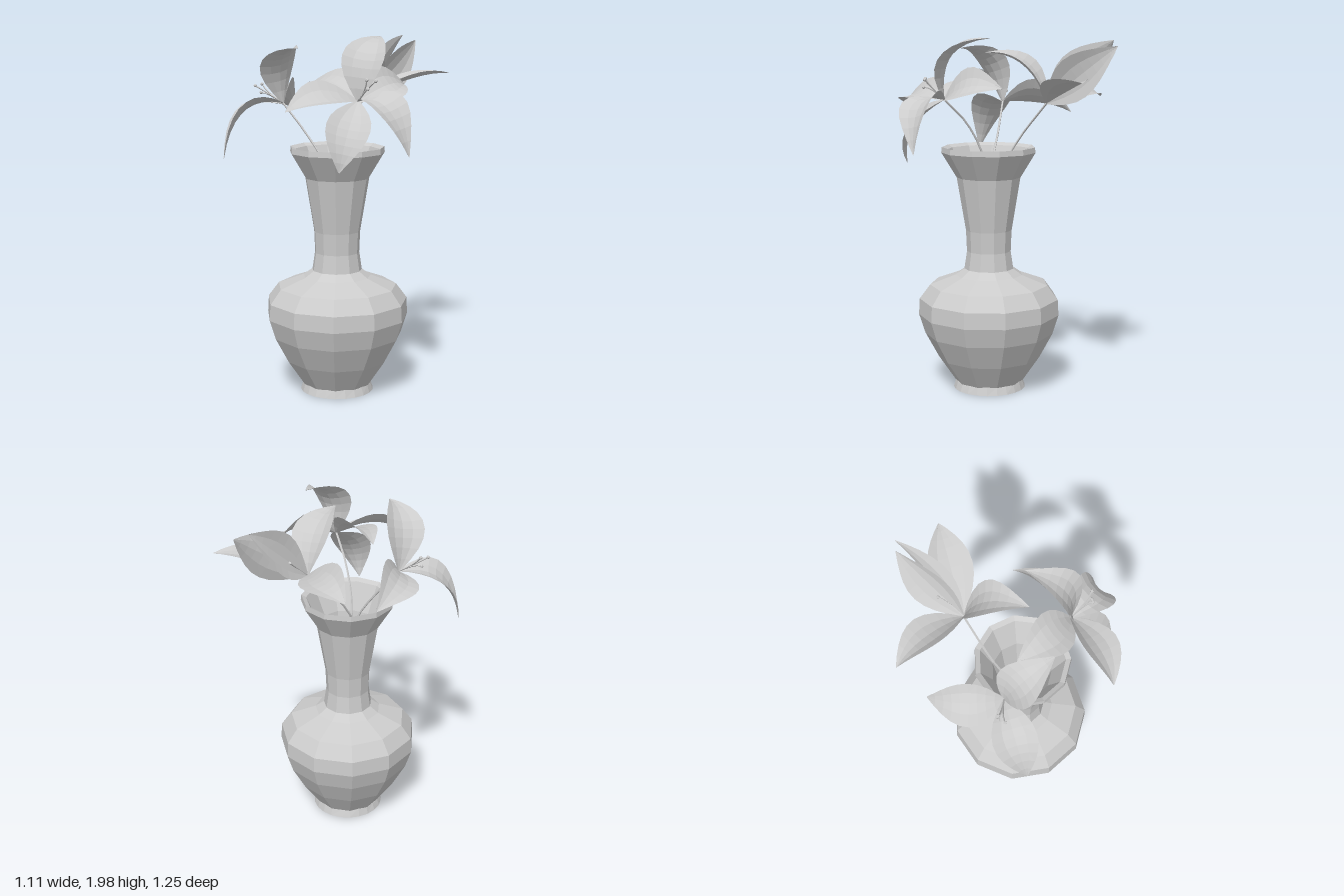
import * as THREE from 'three';

const mat = new THREE.MeshStandardMaterial({ color: 0xcccccc, flatShading: true, side: THREE.DoubleSide });
const V = (x, y, z) => new THREE.Vector3(x, y, z);
const PETAL_WIDTH = 0.113;

function add(parent, name, geometry) {
  const mesh = new THREE.Mesh(geometry, mat);
  mesh.name = name;
  parent.add(mesh);
  return mesh;
}

// Eleven-sided hollow vase: outer wall up to the rim, then inner wall down
function buildVase() {
  const vase = new THREE.Group();
  vase.name = 'vase';
  const profile = [
    [0.195, 0.05], [0.29, 0.19], [0.365, 0.33], [0.4, 0.44], [0.395, 0.53], [0.335, 0.61],
    [0.19, 0.665], [0.14, 0.7], [0.125, 0.8], [0.13, 0.92], [0.18, 1.22], [0.265, 1.36], [0.262, 1.39],
    [0.235, 1.375], [0.165, 1.22], [0.115, 0.92], [0.11, 0.72], [0, 0.7],
  ].map(([r, y]) => new THREE.Vector2(r, y));
  add(vase, 'vaseBody', new THREE.LatheGeometry(profile, 11, 0.289));

  // Ruffled foot
  const foot = new THREE.CylinderGeometry(0.19, 0.205, 0.045, 22);
  const p = foot.attributes.position;
  for (let i = 0; i < p.count; i++) {
    const a = Math.atan2(p.getZ(i), p.getX(i));
    const s = 1 + 0.025 * Math.cos(a * 11);
    p.setXYZ(i, p.getX(i) * s, p.getY(i) + 0.006 * Math.cos(a * 5) * (p.getY(i) > 0 ? 1 : 0), p.getZ(i) * s);
  }
  add(vase, 'vaseFoot', foot).position.y = 0.03;
  vase.position.set(0.053, 0, 0.115);
  return vase;
}

// Cupped, pointed petal swept along a curve from the flower's heart to its tip;
// it bulges and faces towards the given direction
function petalGeometry(base, tip, facing, bend) {
  const mid = base.clone().lerp(tip, 0.5).addScaledVector(facing, bend);
  const curve = new THREE.QuadraticBezierCurve3(base, mid, tip);
  const rows = 9, cols = 4, pos = [], idx = [];
  const side = tip.clone().sub(base).cross(facing).normalize();
  for (let i = 0; i <= rows; i++) {
    const t = i / rows;
    const c = curve.getPoint(t), up = side.clone().cross(curve.getTangent(t)).normalize();
    const w = 0.008 + PETAL_WIDTH * Math.pow(Math.sin(Math.PI * Math.pow(t, 0.9)), 1.15) * (1 - 0.1 * t);
    for (let j = 0; j <= cols; j++) {
      const s = (j / cols) * 2 - 1;
      const q = c.clone().addScaledVector(side, s * w * (i === rows ? 0.3 : 1));
      q.addScaledVector(up, w * (0.3 * s * s - 0.1));
      pos.push(q.x, q.y, q.z);
      if (i < rows && j < cols) {
        const k = i * (cols + 1) + j;
        idx.push(k, k + 1, k + cols + 1, k + 1, k + cols + 2, k + cols + 1);
      }
    }
  }
  const g = new THREE.BufferGeometry();
  g.setAttribute('position', new THREE.Float32BufferAttribute(pos, 3));
  g.setIndex(idx);
  g.computeVertexNormals();
  return g;
}

// Flower with a stem and stamens; petals are added one by one
function buildFlower(name, heart, axis, stemPoints) {
  const flower = new THREE.Group();
  flower.name = name;
  const dir = axis.normalize();
  const path = new THREE.CatmullRomCurve3([...stemPoints, heart]);
  add(flower, 'stem', new THREE.TubeGeometry(path, 12, 0.006, 5));

  // Stamens with small anthers
  const u = V(0, 1, 0).cross(dir).normalize();
  const v = dir.clone().cross(u);
  const bow = heart.clone().addScaledVector(dir, 0.12);
  for (let i = 0; i < 3; i++) {
    const a = (i * Math.PI * 2) / 3, r = 0.025;
    const end = heart.clone().addScaledVector(dir, 0.18 - 0.02 * i)
      .addScaledVector(u, r * Math.cos(a)).addScaledVector(v, r * Math.sin(a));
    add(flower, 'stamen', new THREE.TubeGeometry(new THREE.QuadraticBezierCurve3(heart, bow, end), 5, 0.004, 4));
    add(flower, 'anther', new THREE.IcosahedronGeometry(0.01, 0)).position.copy(end);
  }
  const petal = (tip, facing, bend) =>
    add(flower, 'petal', petalGeometry(heart, tip, facing.normalize(), bend));
  return { flower, petal };
}

export function createModel() {
  const model = new THREE.Group();
  model.name = 'vaseOfFlowers';

  // Large open flower leaning to the front
  const front = buildFlower('frontFlower', V(0.24, 1.66, 0.32), V(0.11, 0.12, 0.1),
    [V(0.1, 0.8, 0.1), V(0.04, 1.3, 0.14), V(0.12, 1.52, 0.22)]);
  front.petal(V(0.28, 1.99, 0.06), V(0.05, 0.6, 0.8), 0.24);
  front.petal(V(0.39, 1.73, -0.03), V(0.5, 0.6, 0.3), 0.14);
  front.petal(V(0.545, 1.39, 0.41), V(0.25, 0.75, 0.3), 0.27);
  front.petal(V(0.21, 1.31, 0.54), V(0.2, 0.3, 0.8), 0.16);
  front.petal(V(-0.05, 1.62, 0.62), V(0.1, 0.8, 0.5), 0.14);
  front.petal(V(-0.1, 1.73, 0.12), V(0, 0.9, 0.4), 0.15);

  // Half-closed flower leaning to the back
  const back = buildFlower('backFlower', V(0.11, 1.64, -0.22), V(0.06, 0.16, -0.18),
    [V(0.03, 0.8, 0.16), V(-0.02, 1.2, 0.08), V(0, 1.42, -0.04)]);
  back.petal(V(-0.26, 1.66, -0.47), V(0, 0.8, -0.4), 0.13);
  back.petal(V(0.22, 1.98, -0.59), V(-0.5, 0.6, -0.4), 0.04);
  back.petal(V(0.29, 1.95, -0.62), V(1, 0.1, 0.1), 0.07);
  back.petal(V(0.53, 1.77, -0.47), V(0.3, 0.8, -0.2), 0.1);
  back.petal(V(0.13, 1.91, 0.12), V(0.1, 0.7, -0.5), 0.2);

  // Three-petalled flower leaning to the model's right
  const right = buildFlower('rightFlower', V(-0.27, 1.62, 0.1), V(-0.16, 0.1, 0.02),
    [V(0.08, 0.8, 0.05), V(0, 1.25, 0.11), V(-0.13, 1.45, 0.1)]);
  right.petal(V(-0.34, 1.56, -0.29), V(-0.6, 0.75, 0.1), 0.18);
  right.petal(V(-0.545, 1.32, 0.3), V(-0.4, 0.8, 0.1), 0.26);
  right.petal(V(-0.1, 1.93, 0.31), V(-0.5, 0.6, -0.2), 0.22);

  model.add(buildVase(), front.flower, back.flower, right.flower);
  return model;
}
